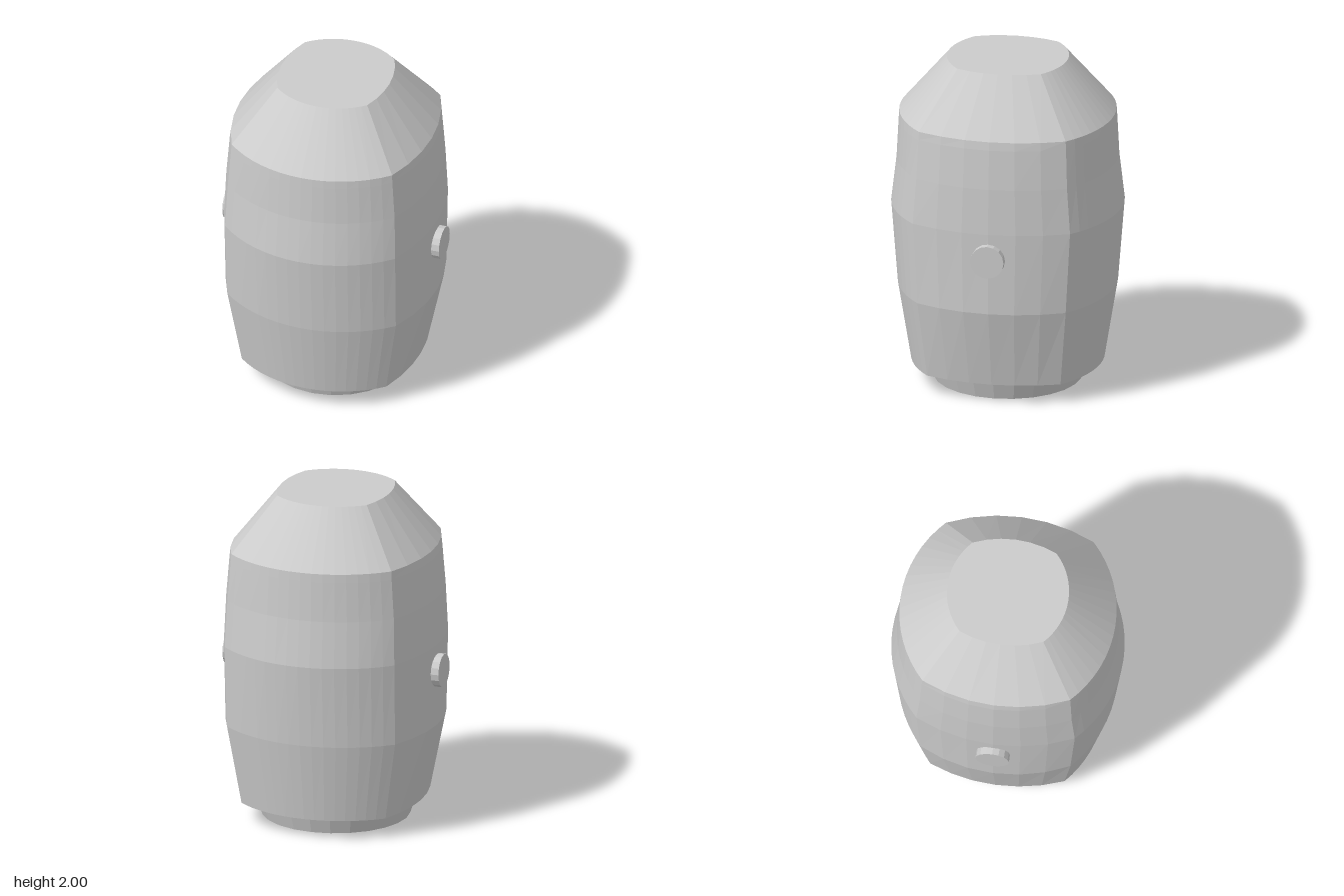
import * as THREE from 'three';

const grey = (extra = {}) => new THREE.MeshStandardMaterial({ color: 0xcccccc, flatShading: true, ...extra });

// Points along a circular arc from (-half, edge) to (half, edge) that peaks at (0, peak)
function arc(half, edge, peak, steps) {
  const sag = peak - edge;
  const radius = (half * half + sag * sag) / (2 * sag);
  const sweep = Math.asin(half / radius);
  return Array.from({ length: steps }, (_, i) => {
    const a = -sweep + (2 * sweep * i) / steps;
    return [radius * Math.sin(a), peak - radius + radius * Math.cos(a)];
  });
}

// Four-arc cross-section, running front, left, back, right
function section({ y, hx, hz, cx, cz }) {
  const front = arc(cx, cz, hz, 16);
  const side = arc(cz, cx, hx, 6);
  return [
    ...front.map(([x, z]) => [x, y, z]),
    ...side.map(([t, x]) => [x, y, -t]),
    ...front.map(([x, z]) => [-x, y, -z]),
    ...side.map(([t, x]) => [-x, y, t]),
  ];
}

// Skin between successive cross-sections, closed by flat caps
function loft(levels) {
  const rings = levels.map(section);
  const n = rings[0].length;
  const pos = [];
  const tri = (a, b, c) => pos.push(...a, ...b, ...c);
  const bottom = [0, levels[0].y, 0];
  const top = [0, levels[levels.length - 1].y, 0];
  for (let i = 0; i < n; i++) {
    const j = (i + 1) % n;
    for (let k = 0; k < rings.length - 1; k++) {
      const lo = rings[k], hi = rings[k + 1];
      tri(lo[i], lo[j], hi[j]);
      tri(lo[i], hi[j], hi[i]);
    }
    tri(bottom, rings[0][j], rings[0][i]);
    tri(top, rings[rings.length - 1][i], rings[rings.length - 1][j]);
  }
  const geo = new THREE.BufferGeometry();
  geo.setAttribute('position', new THREE.Float32BufferAttribute(pos, 3));
  geo.computeVertexNormals();
  return geo;
}

export function createModel() {
  const model = new THREE.Group();
  model.name = 'barrelBody';

  // Bulging shell with a tapered shoulder and flat top
  const shell = new THREE.Mesh(loft([
    { y: 0.12, hx: 0.53, hz: 0.57, cx: 0.45, cz: 0.4 },
    { y: 0.6, hx: 0.632, hz: 0.648, cx: 0.525, cz: 0.445 },
    { y: 1.1, hx: 0.635, hz: 0.688, cx: 0.53, cz: 0.472 },
    { y: 1.38, hx: 0.625, hz: 0.655, cx: 0.52, cz: 0.452 },
    { y: 1.62, hx: 0.605, hz: 0.643, cx: 0.503, cz: 0.443 },
    { y: 1.67, hx: 0.597, hz: 0.64, cx: 0.5, cz: 0.44 },
    { y: 2, hx: 0.333, hz: 0.36, cx: 0.28, cz: 0.25 },
  ]), grey());
  shell.name = 'shell';
  model.add(shell);

  // Hollow collar under the shell
  const profile = [[0, 0.1], [0.4, 0.1], [0.4, 0], [0.44, 0], [0.48, 0.12]];
  const collar = new THREE.Mesh(
    new THREE.LatheGeometry(profile.map(([r, y]) => new THREE.Vector2(r, y)), 24),
    grey({ side: THREE.DoubleSide }),
  );
  collar.name = 'baseCollar';
  model.add(collar);

  // Round studs on both sides
  for (const [name, s] of [['leftStud', 1], ['rightStud', -1]]) {
    const stud = new THREE.Mesh(new THREE.CylinderGeometry(0.1, 0.1, 0.08, 16), grey());
    stud.name = name;
    stud.rotation.z = -s * Math.PI / 2;
    stud.position.set(s * 0.635, 0.94, 0);
    model.add(stud);
  }
  return model;
}
